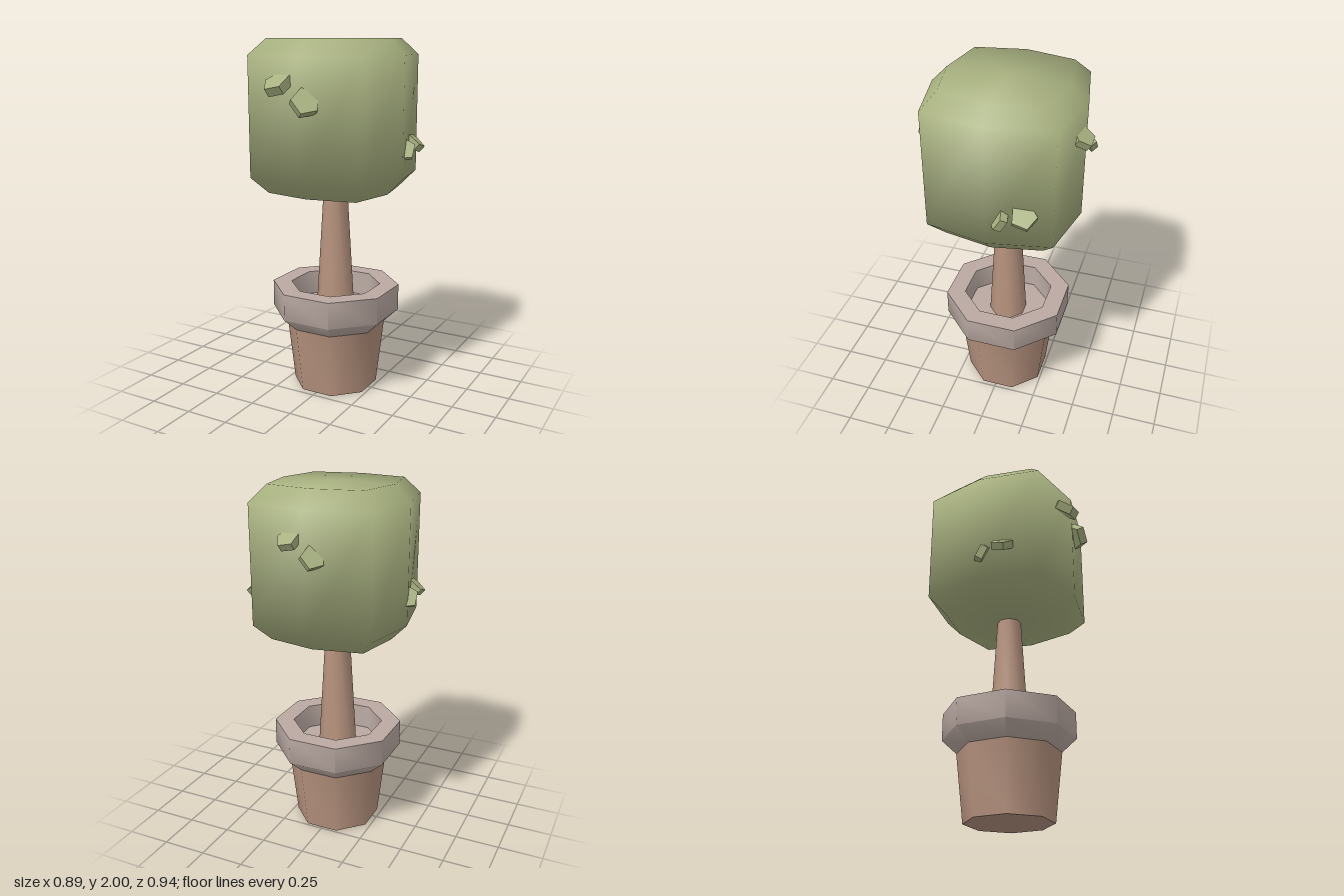
import * as THREE from 'three';
import { toCreasedNormals } from 'three/addons/utils/BufferGeometryUtils.js';

const CENTRE_X = 0.003, CENTRE_Z = -0.012;

function material(name, color) {
  const m = new THREE.MeshStandardMaterial({ color });
  m.name = name;
  return m;
}

// Eight-sided turned part with a flat facing each axis; radii are measured to the flats
function turned(points) {
  const toCorner = 1 / Math.cos(Math.PI / 8);
  const profile = points.map(([r, y]) => new THREE.Vector2(r * toCorner, y));
  return toCreasedNormals(new THREE.LatheGeometry(profile, 8, Math.PI / 8), 1.0);
}

// Rounded cube from stacked eight-point rings, closed by a centre point at each end,
// with soft normals fanning out from its middle
function foliageGeometry() {
  const rings = [[1.163, 0.79], [1.252, 1], [1.912, 1], [2, 0.79]];
  const pos = [], normal = [], index = [];
  const point = (x, y, z) => {
    pos.push(x, y, z);
    normal.push(...new THREE.Vector3(x, y - 1.582, z).normalize().toArray());
  };
  for (const [y, s] of rings) {
    for (let i = 0; i < 8; i++) {
      const a = (i * Math.PI) / 4;
      const r = (i % 2 ? 0.487 : 0.412) * s;
      point(Math.sin(a) * r, y, Math.cos(a) * r);
    }
  }
  point(0, 1.163, 0);
  point(0, 2, 0);
  for (let i = 0; i < 8; i++) {
    const j = (i + 1) % 8;
    for (let k = 0; k < 24; k += 8) {
      index.push(k + i, k + j, k + 8 + j, k + i, k + 8 + j, k + 8 + i);
    }
    index.push(32, j, i, 33, 24 + i, 24 + j);
  }
  const g = new THREE.BufferGeometry();
  g.setAttribute('position', new THREE.Float32BufferAttribute(pos, 3));
  g.setAttribute('normal', new THREE.Float32BufferAttribute(normal, 3));
  g.setIndex(index);
  return g;
}

export function createModel() {
  const model = new THREE.Group();
  const clay = material('clay and bark brown', 0xb6927e);
  const stone = material('rim grey', 0xbaa9a2);
  const green = material('leaf green', 0xa8b180);

  function add(name, geometry, mat) {
    const mesh = new THREE.Mesh(geometry, mat);
    mesh.name = name;
    mesh.position.set(CENTRE_X, 0, CENTRE_Z);
    model.add(mesh);
    return mesh;
  }

  // Pot, hollow rim with its floor, trunk and crown
  add('pot', turned([[0, 0], [0.225, 0], [0.265, 0.38]]), clay);
  add('potRim', turned([[0.265, 0.38], [0.34, 0.455], [0.34, 0.607],
    [0.24, 0.607], [0.235, 0.47], [0, 0.47]]), stone);
  add('trunk', turned([[0.102, 0.46], [0.061, 1.2]]), clay);
  add('foliage', foliageGeometry(), green);

  // Loose leaves: five-sided slabs, one flat edge pointing out of the crown
  const leafGeometry = toCreasedNormals(new THREE.CylinderGeometry(1, 1, 0.65, 5), 0.3);
  function leaf(size, position, normal, outward) {
    const mesh = add('leaf', leafGeometry, green);
    const y = new THREE.Vector3(...normal).normalize();
    const z = new THREE.Vector3(...outward).projectOnPlane(y).normalize().negate();
    const x = new THREE.Vector3().crossVectors(y, z);
    mesh.quaternion.setFromRotationMatrix(new THREE.Matrix4().makeBasis(x, y, z));
    mesh.scale.setScalar(size);
    mesh.position.set(...position);
  }
  const upper = [-0.15, 0.78, 0.55], lower = [0.58, 0.5, 0.62];
  const wide = [0.6, 0.75, -0.2], narrow = [0.42, 0.45, 0.78];
  const front = [0, 0, 1], side = [1, 0, 0];
  const turn = ([x, y, z]) => [-x, y, -z];

  // Front and back pairs
  leaf(0.078, [-0.105, 1.77, 0.402], upper, front);
  leaf(0.077, [0.055, 1.68, 0.405], lower, front);
  leaf(0.065, [0.08, 1.755, -0.418], turn(upper), turn(front));
  leaf(0.065, [-0.048, 1.675, -0.42], turn(lower), turn(front));

  // Side pairs
  leaf(0.07, [0.387, 1.437, -0.21], wide, side);
  leaf(0.064, [0.39, 1.405, -0.085], narrow, side);
  leaf(0.064, [-0.393, 1.437, 0.13], turn(wide), turn(side));
  leaf(0.064, [-0.393, 1.405, 0.01], turn(narrow), turn(side));

  return model;
}
